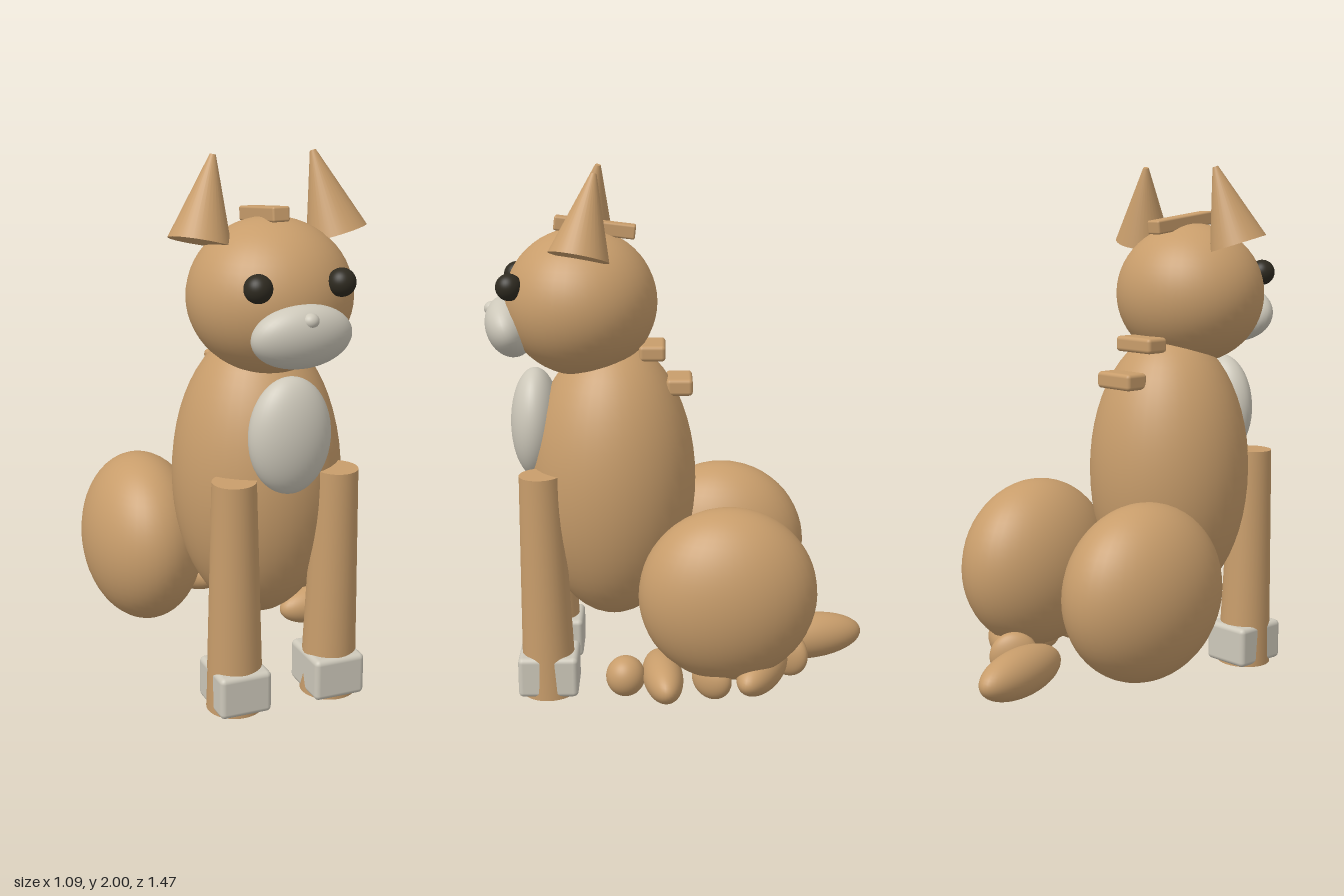
import * as THREE from 'three';
import { RoundedBoxGeometry } from 'three/addons/geometries/RoundedBoxGeometry.js';

const material = (name, color) => {
  const m = new THREE.MeshStandardMaterial({ color });
  m.name = name;
  return m;
};

export function createModel() {
  const fur = material('tan fur', 0xc89d6b);
  const pale = material('pale fur', 0xcdc8ba);
  const dark = material('dark eye', 0x2e2a20);
  const model = new THREE.Group();
  model.name = 'sittingDog';

  const add = (name, geometry, mat, position, rotation = [0, 0, 0]) => {
    const mesh = new THREE.Mesh(geometry, mat);
    mesh.name = name;
    mesh.position.set(...position);
    mesh.rotation.set(...rotation);
    model.add(mesh);
    return mesh;
  };
  const ellipsoid = (name, mat, position, radii, rotation) =>
    add(name, new THREE.SphereGeometry(1, 40, 28).scale(...radii), mat, position, rotation);
  const block = (name, mat, position, size, bevel, rotation) =>
    add(name, new RoundedBoxGeometry(...size, 3, bevel), mat, position, rotation);

  // Tapered round limb between two points
  const taper = (name, mat, from, to, r0, r1) => {
    const a = new THREE.Vector3(...from), b = new THREE.Vector3(...to);
    const axis = b.clone().sub(a);
    const mesh = add(name, new THREE.CylinderGeometry(r1, r0, axis.length(), 32), mat,
      a.clone().add(b).multiplyScalar(0.5).toArray());
    mesh.quaternion.setFromUnitVectors(new THREE.Vector3(0, 1, 0), axis.normalize());
  };

  // Torso and chest patch
  ellipsoid('body', fur, [0, 0.81, 0.255], [0.315, 0.55, 0.32]);
  ellipsoid('chestPatch', pale, [0, 1.035, 0.55], [0.155, 0.215, 0.095]);

  // Head
  ellipsoid('head', fur, [0, 1.505, 0.368], [0.3, 0.278, 0.288]);
  ellipsoid('muzzle', pale, [0, 1.412, 0.638], [0.185, 0.118, 0.09], [0.35, 0, 0]);
  ellipsoid('nose', pale, [0, 1.48, 0.705], [0.03, 0.027, 0.03]);

  // Ridge on the crown and two plates on the nape
  block('crownRidge', fur, [0, 1.785, 0.312], [0.065, 0.053, 0.305], 0.008, [-0.12, 0, 0]);
  block('upperNapePlate', fur, [0, 1.32, 0.1], [0.19, 0.06, 0.1], 0.015);
  block('lowerNapePlate', fur, [0, 1.188, -0.003], [0.18, 0.064, 0.1], 0.015);

  // Paired parts
  for (const [side, s] of [['left', 1], ['right', -1]]) {
    ellipsoid(side + 'Eye', dark, [s * 0.155, 1.585, 0.622], [0.05, 0.05, 0.05]);
    taper(side + 'Ear', fur, [s * 0.262, 1.708, 0.36], [s * 0.19, 1.998, 0.305], 0.112, 0.011);
    taper(side + 'FrontLeg', fur, [s * 0.19, 0.002, 0.505], [s * 0.2, 0.883, 0.523], 0.105, 0.08);
    block(side + 'FrontPaw', pale, [s * 0.188, 0.09, 0.505], [0.2, 0.16, 0.23], 0.02);
    ellipsoid(side + 'Haunch', fur, [s * 0.308, 0.445, -0.182], [0.234, 0.335, 0.337], [0, s * 0.05, 0]);
  }

  // Tail segments curling around the left haunch
  const tail = [
    [[-0.004, 0.14, -0.52], [0.09, 0.092, 0.225], 0.25],
    [[0.16, 0.14, -0.42], [0.045, 0.095, 0.095], -0.64],
    [[0.31, 0.14, -0.315], [0.19, 0.08, 0.08], -0.4],
    [[0.37, 0.128, -0.12], [0.05, 0.08, 0.085], -0.64],
    [[0.365, 0.138, 0.065], [0.18, 0.08, 0.075], 0.12],
    [[0.362, 0.138, 0.205], [0.074, 0.077, 0.074], 0],
  ];
  tail.forEach(([position, radii, turn], i) =>
    ellipsoid('tailSegment' + (i + 1), fur, position, radii, [0, turn, 0]));

  return model;
}
